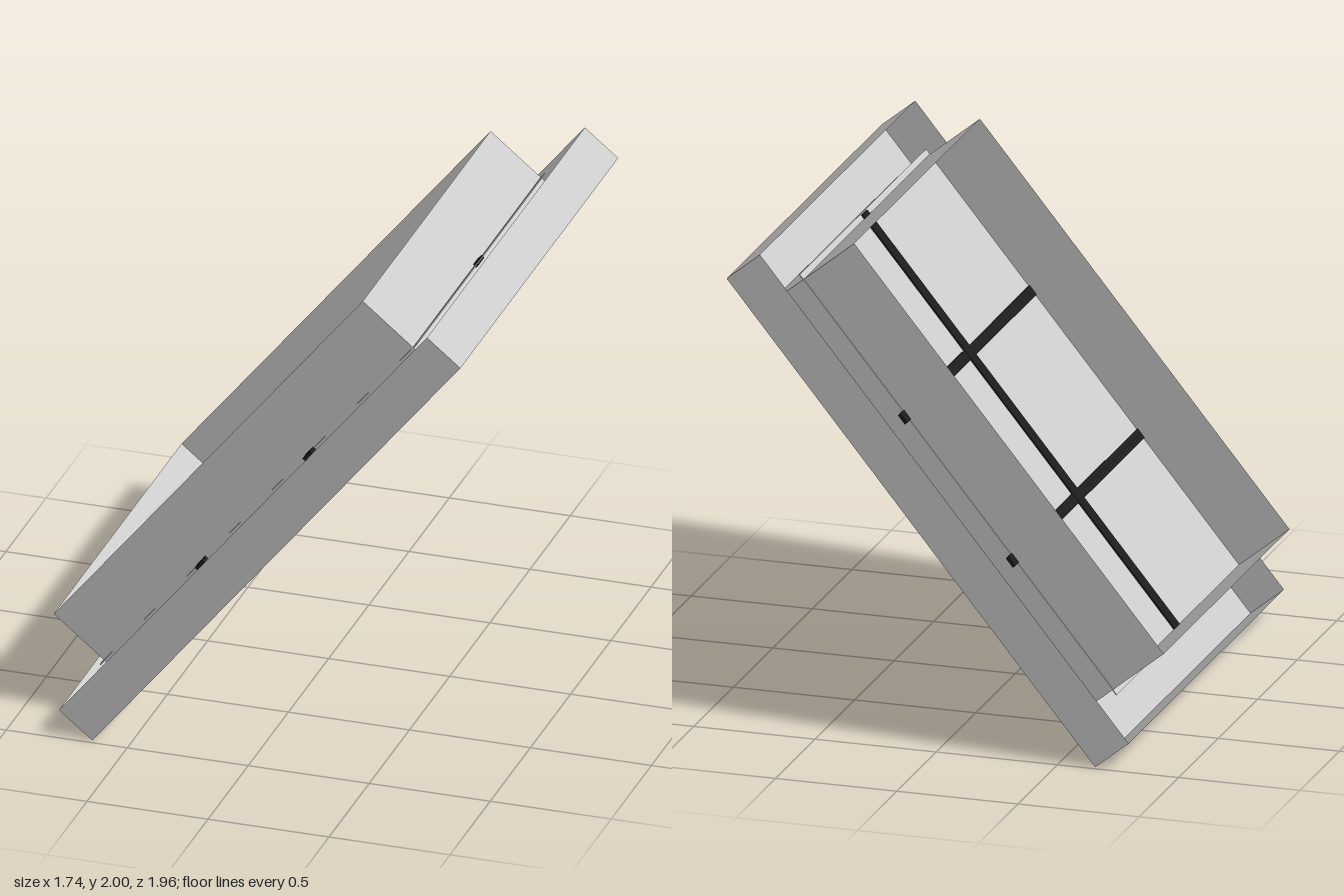
import * as THREE from 'three';

const shell = new THREE.MeshStandardMaterial({ color: 0xcccccc, side: THREE.DoubleSide });
const dark = new THREE.MeshStandardMaterial({ color: 0x1c1c1c });

// Local axes: x runs up the slope, y points out of the slope, z across.
const FRAME = { x0: 0, x1: 2.406, z: 0.982 };
const SHAFT = { x0: 0.195, x1: 2.215, z: 0.795 };
const FRAME_DEPTH = 0.178, SHAFT_DEPTH = 0.445, PANE_Y = 0.175;

export function createModel() {
  const model = new THREE.Group();
  model.name = 'roofWindow';
  const slope = new THREE.Group();
  slope.name = 'slopedWindow';
  slope.position.set(-0.65, 0, 0);
  slope.rotation.z = Math.atan2(0.775, 0.632);
  model.add(slope);

  function add(name, geometry, material, x, y, z, parent = slope) {
    const mesh = new THREE.Mesh(geometry, material);
    mesh.name = name;
    mesh.position.set(x, y, z);
    parent.add(mesh);
    return mesh;
  }

  // Four thin upright walls around a rectangle, open above and below
  function walls(name, r, height) {
    const group = new THREE.Group();
    group.name = name;
    slope.add(group);
    for (const s of [-1, 1]) {
      const side = new THREE.PlaneGeometry(r.x1 - r.x0, height);
      if (s < 0) side.rotateY(Math.PI);
      add('sideWall', side, shell, (r.x0 + r.x1) / 2, height / 2, s * r.z, group);
      const end = new THREE.PlaneGeometry(2 * r.z, height).rotateY(s * Math.PI / 2);
      add('endWall', end, shell, s < 0 ? r.x0 : r.x1, height / 2, 0, group);
    }
  }

  const outline = (Type, r) => new Type([
    new THREE.Vector2(r.x0, -r.z), new THREE.Vector2(r.x1, -r.z),
    new THREE.Vector2(r.x1, r.z), new THREE.Vector2(r.x0, r.z),
  ]);

  // Flat casing on the inner side, with the window opening cut out
  const casing = outline(THREE.Shape, FRAME);
  casing.holes.push(outline(THREE.Path, SHAFT));
  add('casing', new THREE.ShapeGeometry(casing).rotateX(Math.PI / 2), shell, 0, 0, 0);

  walls('frameRim', FRAME, FRAME_DEPTH);
  walls('windowShaft', SHAFT, SHAFT_DEPTH);

  // Pane, slightly larger than the opening
  const mid = (SHAFT.x0 + SHAFT.x1) / 2;
  add('pane', new THREE.BoxGeometry(2.07, 0.004, 1.6), shell, mid, PANE_Y, 0);

  // Glazing bars
  add('longBar', new THREE.BoxGeometry(2.06, 0.016, 0.064), dark, mid, PANE_Y, 0);
  for (const x of [0.84, 1.545]) {
    add('crossBar', new THREE.BoxGeometry(0.046, 0.014, 1.68), dark, x, PANE_Y, 0);
  }
  return model;
}
